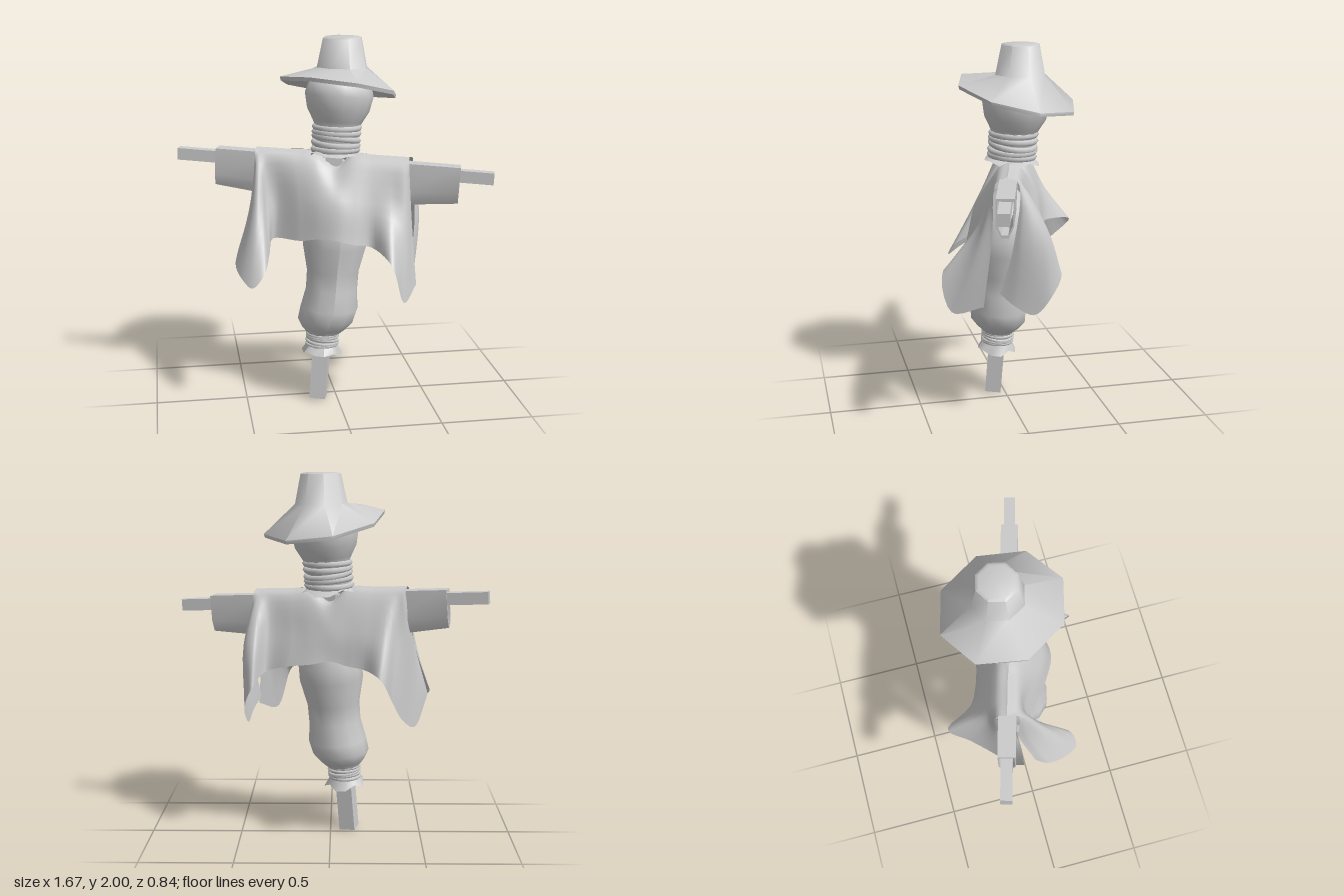
import * as THREE from 'three';
import { toCreasedNormals } from 'three/addons/utils/BufferGeometryUtils.js';
import { ParametricGeometry } from 'three/addons/geometries/ParametricGeometry.js';

const mat = new THREE.MeshStandardMaterial({ color: 0xcccccc, side: THREE.DoubleSide });
const V = (x, y, z) => new THREE.Vector3(x, y, z);

function add(parent, name, geometry, x = 0, y = 0, z = 0) {
  const mesh = new THREE.Mesh(geometry, mat);
  mesh.name = name;
  mesh.position.set(x, y, z);
  parent.add(mesh);
  return mesh;
}

const lathe = (profile, sides, start = 0) =>
  new THREE.LatheGeometry(profile.map(([r, y]) => new THREE.Vector2(r, y)), sides, start);

// Stack of rope loops, each tipped a little differently
function ropes(parent, name, count, y0, step, radius, thickness) {
  for (let i = 0; i < count; i++) {
    const loop = add(parent, name, new THREE.TorusGeometry(radius, thickness, 6, 20), 0, y0 + i * step, 0);
    loop.rotation.set(Math.PI / 2 + 0.05 * Math.sin(i * 2.1), 0.06 * Math.cos(i * 1.7), 0);
  }
}

// Flared cloth ring with a ragged lower edge
function frill(parent, name, top, bottom, yTop, yBottom) {
  const g = new THREE.CylinderGeometry(top, bottom, yTop - yBottom, 12, 1, true);
  const p = g.attributes.position;
  for (let i = 13; i < p.count; i++) {
    const k = (i - 13) % 12;
    const s = 1 + 0.1 * Math.sin(k * 2.6);
    p.setXYZ(i, p.getX(i) * s, p.getY(i) + 0.016 * Math.sin(k * 2), p.getZ(i) * s);
  }
  g.computeVertexNormals();
  add(parent, name, g, 0, (yTop + yBottom) / 2, 0);
}

// Cloth panel hung from the crossbeam: each fold is [ridge x, middle point, hem point]
function clothPanel(parent, name, side, folds) {
  const curves = folds.map(([x, mid, hem]) => {
    // the ridge drops at the neck opening
    const neck = Math.max(0, 1 - Math.abs(x) / 0.1);
    const y = 1.385 - 0.05 * x - 0.07 * neck;
    const z = -0.02 + 0.28 * x + side * 0.06 * neck;
    return new THREE.CatmullRomCurve3([
      V(x, y, z), V(x - side * 0.012, y - 0.025, z + side * (0.055 - 0.03 * neck)), V(...mid), V(...hem)]);
  });
  const surface = (u, v, target) => {
    const row = new THREE.CatmullRomCurve3(curves.map(c => c.getPoint(v)));
    target.copy(row.getPoint(u));
  };
  add(parent, name, new ParametricGeometry(surface, 70, 14));
}

export function createModel() {
  const model = new THREE.Group();
  model.name = 'scarecrow';

  // Leaning upright: post, stuffed body, neck and head
  const upright = new THREE.Group();
  upright.name = 'upright';
  upright.position.set(-0.105, 0, 0.06);
  upright.quaternion.setFromUnitVectors(V(0, 1, 0), V(0.08, 1, -0.06).normalize());
  model.add(upright);

  add(upright, 'post', new THREE.BoxGeometry(0.088, 1.4, 0.088), 0, 0.705, 0).rotation.y = -0.28;

  const body = lathe([[0.075, 0.32], [0.08, 0.37], [0.12, 0.41], [0.156, 0.46], [0.16, 0.53],
    [0.143, 0.64], [0.144, 0.74], [0.175, 0.88], [0.175, 0.97], [0.145, 1.1], [0.08, 1.2], [0.03, 1.24]], 12);
  const bp = body.attributes.position;
  for (let i = 0; i < bp.count; i++) {
    const lift = THREE.MathUtils.smoothstep(bp.getY(i), 0.36, 0.6);
    bp.setX(i, bp.getX(i) + 0.03 * lift);
    bp.setZ(i, bp.getZ(i) + 0.018 * lift);
  }
  body.computeVertexNormals();
  add(upright, 'body', body);
  frill(upright, 'sackHem', 0.075, 0.108, 0.33, 0.268);
  ropes(upright, 'waistRope', 5, 0.318, 0.015, 0.084, 0.009);

  add(upright, 'head', lathe([[0.085, 1.37], [0.115, 1.4], [0.115, 1.52], [0.135, 1.56], [0.168, 1.62],
    [0.185, 1.7], [0.17, 1.755], [0.13, 1.79], [0, 1.8]], 14));
  ropes(upright, 'neckRope', 5, 1.408, 0.03, 0.119, 0.017);
  frill(upright, 'neckHem', 0.1, 0.15, 1.405, 1.375);

  // Hat: eight-sided crown, with a brim that dips to the back left
  const hat = lathe([[0, 0.255], [0.09, 0.255], [0.108, 0.248], [0.14, 0.095], [0.325, 0.005],
    [0.32, -0.015], [0.16, 0.06], [0.12, 0.08]], 8, THREE.MathUtils.degToRad(8));
  const hp = hat.attributes.position;
  for (let i = 0; i < hp.count; i++) {
    const x = hp.getX(i), z = hp.getZ(i);
    const w = THREE.MathUtils.clamp((Math.hypot(x, z) - 0.12) / 0.2, 0, 1);
    hp.setXYZ(i, x - 0.02 * w, hp.getY(i) + w * (0.19 * z - 0.165 * x - 0.01), z + 0.015 * w);
  }
  add(model, 'hat', toCreasedNormals(hat, 1.1), 0.05, 1.743, -0.06);

  // Crossbeam with hollow sleeves, deeper towards the shoulders
  const arms = new THREE.Group();
  arms.name = 'arms';
  arms.position.set(0, 1.31, -0.02);
  arms.quaternion.setFromUnitVectors(V(1, 0, 0), V(1.65, -0.1, 0.46).normalize());
  model.add(arms);
  add(arms, 'crossbeam', new THREE.BoxGeometry(1.72, 0.064, 0.06));

  const outline = [[-0.046, 0.05], [0.046, 0.05], [0.043, -0.09], [0.018, -0.15], [-0.02, -0.15], [-0.046, -0.09]];
  const points = (k) => outline.map(([a, b]) => new THREE.Vector2(a * k, (b + 0.05) * k - 0.05));
  const sleeveShape = new THREE.Shape(points(1));
  sleeveShape.holes.push(new THREE.Path(points(0.86)));
  for (const [name, start] of [['rightSleeve', -0.645], ['leftSleeve', 0.335]]) {
    const g = new THREE.ExtrudeGeometry(sleeveShape, { depth: 0.345, bevelEnabled: false });
    g.rotateY(Math.PI / 2).translate(start, 0, 0);
    const p = g.attributes.position;
    for (let i = 0; i < p.count; i++) {
      if (p.getY(i) < 0) p.setY(i, p.getY(i) * (1 + 0.7 * (0.68 - Math.abs(p.getX(i)))));
    }
    add(arms, name, toCreasedNormals(g, 0.7));
  }

  // Draped shirt: front and back panels with long hanging corners
  clothPanel(model, 'shirtFront', 1, [
    [-0.41, [-0.45, 1.1, -0.08], [-0.53, 0.86, -0.01]],
    [-0.405, [-0.46, 1.1, -0.03], [-0.55, 0.8, 0.06]],
    [-0.40, [-0.45, 1.1, 0.04], [-0.525, 0.75, 0.17]],
    [-0.39, [-0.43, 1.1, 0.06], [-0.475, 0.72, 0.245]],
    [-0.38, [-0.4, 1.1, 0.05], [-0.41, 0.79, 0.23]],
    [-0.36, [-0.37, 1.12, 0.0], [-0.37, 0.87, 0.11]],
    [-0.32, [-0.32, 1.13, -0.02], [-0.34, 0.92, 0.0]],
    [-0.20, [-0.2, 1.15, 0.07], [-0.2, 0.93, 0.11]],
    [-0.10, [-0.1, 1.15, 0.14], [-0.1, 0.955, 0.18]],
    [0.0, [-0.01, 1.15, 0.17], [-0.02, 0.95, 0.22]],
    [0.1, [0.08, 1.13, 0.18], [0.06, 0.93, 0.23]],
    [0.2, [0.17, 1.12, 0.18], [0.16, 0.91, 0.22]],
    [0.3, [0.27, 1.1, 0.21], [0.24, 0.85, 0.4]],
    [0.36, [0.35, 1.05, 0.22], [0.31, 0.64, 0.37]],
    [0.39, [0.39, 1.05, 0.17], [0.41, 0.69, 0.22]],
  ]);
  clothPanel(model, 'shirtBack', -1, [
    [-0.41, [-0.45, 1.1, -0.09], [-0.53, 0.81, -0.07]],
    [-0.405, [-0.44, 1.1, -0.13], [-0.46, 0.64, -0.13]],
    [-0.40, [-0.4, 1.1, -0.19], [-0.39, 0.69, -0.21]],
    [-0.38, [-0.35, 1.12, -0.23], [-0.325, 0.82, -0.32]],
    [-0.34, [-0.3, 1.15, -0.28], [-0.265, 0.95, -0.43]],
    [-0.25, [-0.2, 1.15, -0.24], [-0.18, 0.98, -0.28]],
    [-0.1, [-0.1, 1.16, -0.2], [-0.09, 0.99, -0.23]],
    [0.0, [0.0, 1.16, -0.17], [0.0, 1.01, -0.2]],
    [0.1, [0.1, 1.15, -0.13], [0.1, 0.99, -0.18]],
    [0.2, [0.2, 1.15, -0.08], [0.22, 0.97, -0.13]],
    [0.32, [0.34, 1.12, -0.04], [0.35, 0.93, -0.07]],
    [0.37, [0.41, 1.08, -0.12], [0.42, 0.86, -0.19]],
    [0.385, [0.46, 1.07, -0.09], [0.465, 0.74, -0.13]],
    [0.395, [0.475, 1.05, -0.03], [0.45, 0.64, -0.04]],
    [0.405, [0.46, 1.03, 0.03], [0.43, 0.69, 0.06]],
    [0.41, [0.43, 1.0, 0.07], [0.39, 0.75, 0.13]],
  ]);

  return model;
}
